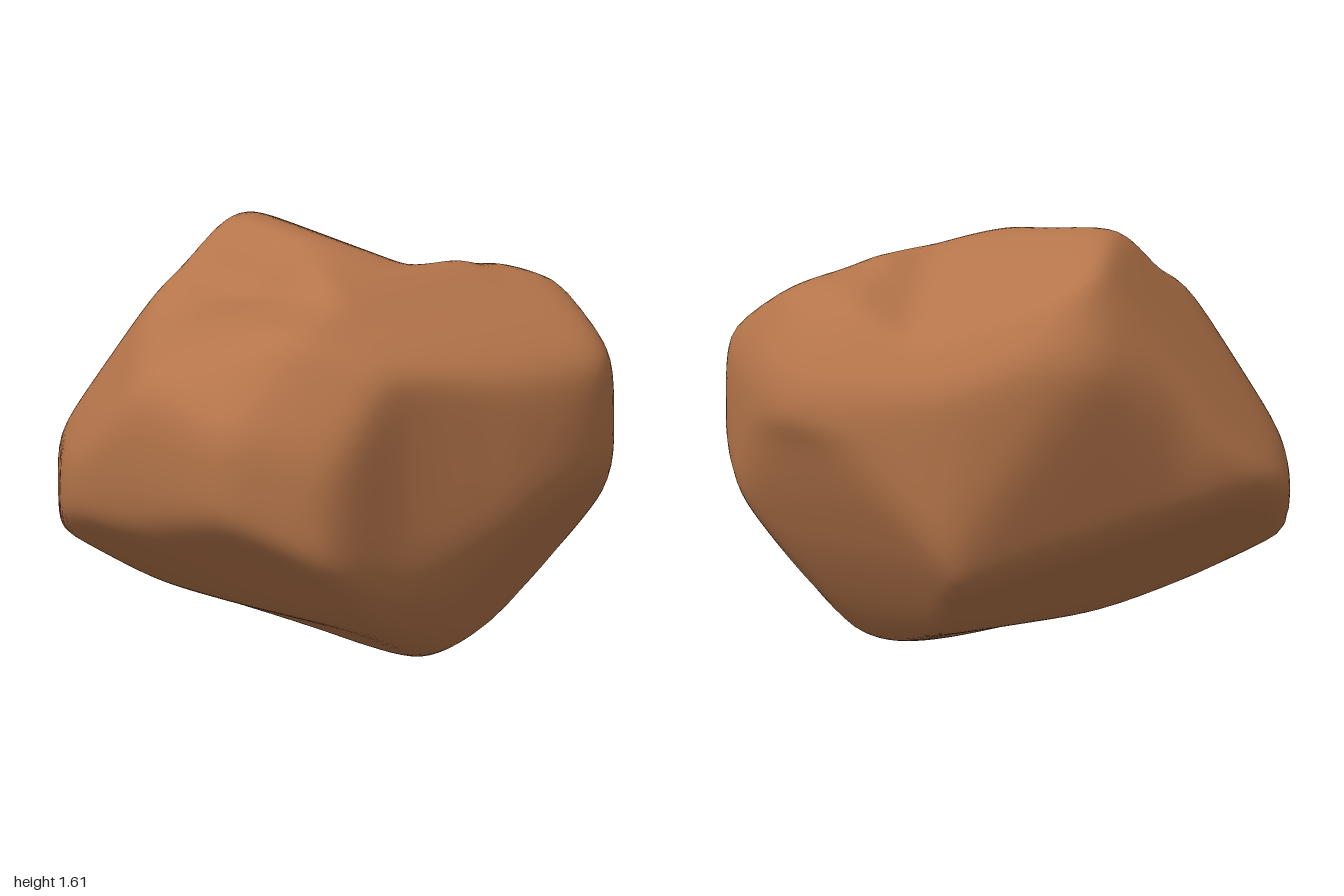
import * as THREE from 'three';
import { mergeVertices } from 'three/addons/utils/BufferGeometryUtils.js';

const MID = 0.8; // height of the point the boulder is shaped around
const BLEND = 36; // higher gives tighter edges between faces
const ROUNDING = 1.019; // makes up for what the rounded edges take away

// Closed outlines: front (x, y), side (z, y), plan (x, z)
const FRONT = [
  1, 0.97, 0.93, 1.16, 0.78, 1.35, 0.66, 1.4, 0.46, 1.45, 0.35, 1.52, 0.2, 1.57, 0, 1.61, -0.13, 1.615,
  -0.21, 1.58, -0.35, 1.44, -0.7, 1.36, -0.83, 1.31, -0.92, 1.2, -0.98, 1.08, -1, 0.9, -0.97, 0.68,
  -0.92, 0.53, -0.8, 0.4, -0.6, 0.29, -0.35, 0.21, -0.1, 0.1, 0.02, 0.04, 0.16, 0, 0.33, 0.02,
  0.48, 0.07, 0.55, 0.12, 0.72, 0.36, 0.85, 0.62, 0.94, 0.84];
const SIDE = [
  0.97, 0.78, 0.92, 1.1, 0.87, 1.2, 0.79, 1.28, 0.6, 1.37, 0.45, 1.45, 0.27, 1.52, 0.05, 1.58, -0.27, 1.62,
  -0.5, 1.59, -0.6, 1.53, -0.67, 1.4, -0.8, 1.1, -0.9, 0.85, -0.97, 0.7, -0.97, 0.62, -0.9, 0.5,
  -0.65, 0.33, -0.44, 0.21, -0.27, 0.15, -0.03, 0.1, 0.22, 0.03, 0.4, 0, 0.55, 0.05, 0.68, 0.12,
  0.75, 0.22, 0.86, 0.45, 0.95, 0.66];
const PLAN = [
  -1, 0.05, -0.98, 0.35, -0.94, 0.53, -0.82, 0.68, -0.69, 0.8, -0.6, 0.83, -0.3, 0.84, 0, 0.9, 0.2, 0.95,
  0.38, 0.965, 0.57, 0.92, 0.7, 0.84, 0.82, 0.68, 0.94, 0.46, 1, 0.25, 0.97, 0.08, 0.9, -0.1,
  0.76, -0.37, 0.62, -0.56, 0.52, -0.68, 0.44, -0.74, 0.2, -0.79, 0, -0.84, -0.2, -0.95, -0.3, -0.975,
  -0.43, -0.95, -0.55, -0.85, -0.7, -0.67, -0.82, -0.52, -0.92, -0.35, -0.98, -0.15];

// Flat cuts: outward normal and distance from the middle
const CUTS = [
  [0.32, -0.61, 0.72, 0.88],      // front left underside
  [0.436, -0.237, -0.868, 0.735], // back face
  [-0.7, 0.51, -0.5, 0.82],       // back right shoulder
  [-0.35, 0.57, -0.73, 0.79],
  [0.707, 0, -0.707, 0.82],       // back left corner
  [0.725, 0.585, -0.335, 0.85],   // back left shoulder
  [0.45, 0.45, -0.75, 0.92],
  [-0.71, 0.63, 0.28, 0.98],      // front right shoulder
  [-0.5, 0.45, 0.74, 1.0],
  [0.025, 0.837, 0.535, 0.81],    // front of the top
  [0.75, 0.54, 0.39, 1.05],       // front left shoulder
  [-0.66, -0.72, 0.18, 0.8],      // underside
  [-0.6, -0.8, -0.06, 0.76],
  [0.12, -0.765, -0.63, 0.67],
  [-0.3, -0.9, -0.3, 0.76],
  [-0.15, -0.74, 0.65, 0.94],
  [-0.29, -0.63, 0.71, 0.99],
];

// Valleys in the top: the two slopes that meet along each
const VALLEYS = [
  [[0.413, 0.907, 0.067, 0.7], [0.03, 0.894, -0.447, 0.47]],
  [[-0.6, 0.8, 0.15, 0.69], [-0.43, 0.88, -0.15, 0.74]],
];

// Shallow hollow beside the right lobe: centre, radius, depth
const HOLLOW = { at: new THREE.Vector3(-0.34, 0.62, -0.06), size: 0.25, depth: 0.06 };

// Turns an outline into a function giving its radius in a direction (a, b)
function outlineRadius(flat, lift) {
  const pts = [];
  for (let i = 0; i < flat.length; i += 2) pts.push(new THREE.Vector3(flat[i], flat[i + 1] - lift, 0));
  const loop = new THREE.CatmullRomCurve3(pts, true, 'centripetal').getPoints(160);
  return (a, b) => {
    for (let i = 0; i < loop.length - 1; i++) {
      const p = loop[i], q = loop[i + 1];
      const cp = a * p.y - b * p.x, cq = a * q.y - b * q.x;
      if (cp * cq > 0 || cp === cq) continue;
      const t = cp / (cp - cq);
      const r = a * (p.x + (q.x - p.x) * t) + b * (p.y + (q.y - p.y) * t);
      if (r > 0) return r;
    }
    return 1;
  };
}

// Each limit is one over the distance at which a direction meets it
function outlineLimit(radius, a, b) {
  const len = Math.hypot(a, b);
  return len < 1e-5 ? 0 : len / radius(a / len, b / len);
}
function planeLimit([x, y, z, dist], d) {
  return Math.max(0.01, (d.x * x + d.y * y + d.z * z) / (dist * Math.hypot(x, y, z)));
}
function softMean(values, power) {
  return Math.pow(values.reduce((sum, g) => sum + Math.pow(g, power), 0), 1 / power);
}

function boulderGeometry() {
  const front = outlineRadius(FRONT, MID);
  const side = outlineRadius(SIDE, MID);
  const plan = outlineRadius(PLAN, 0);

  let geo = new THREE.IcosahedronGeometry(1, 28);
  geo.deleteAttribute('uv');
  geo.deleteAttribute('normal');
  geo = mergeVertices(geo, 1e-5);

  // Push each point out to the softly blended nearest limit
  const pos = geo.attributes.position;
  const d = new THREE.Vector3();
  for (let i = 0; i < pos.count; i++) {
    d.fromBufferAttribute(pos, i).normalize();
    const limits = [
      outlineLimit(front, d.x, d.y), outlineLimit(side, d.z, d.y), outlineLimit(plan, d.x, d.z),
      ...CUTS.map((cut) => planeLimit(cut, d)),
      ...VALLEYS.map((slopes) => softMean(slopes.map((s) => planeLimit(s, d)), -BLEND)),
    ];
    d.multiplyScalar(ROUNDING / softMean(limits, BLEND));
    const gap = d.distanceTo(HOLLOW.at) / HOLLOW.size;
    d.setLength(d.length() - HOLLOW.depth * Math.exp(-gap * gap));
    pos.setXYZ(i, d.x, d.y, d.z);
  }

  // Stand it on the ground, centred
  geo.computeBoundingBox();
  const mid = geo.boundingBox.getCenter(new THREE.Vector3());
  geo.translate(-mid.x, -geo.boundingBox.min.y, -mid.z);
  geo.computeVertexNormals();
  return geo;
}

export function createModel() {
  const stone = new THREE.MeshStandardMaterial({ color: 0xb5754a });
  stone.name = 'brown stone';
  const boulder = new THREE.Mesh(boulderGeometry(), stone);
  boulder.name = 'boulder';
  const group = new THREE.Group();
  group.name = 'rock';
  group.add(boulder);
  return group;
}
